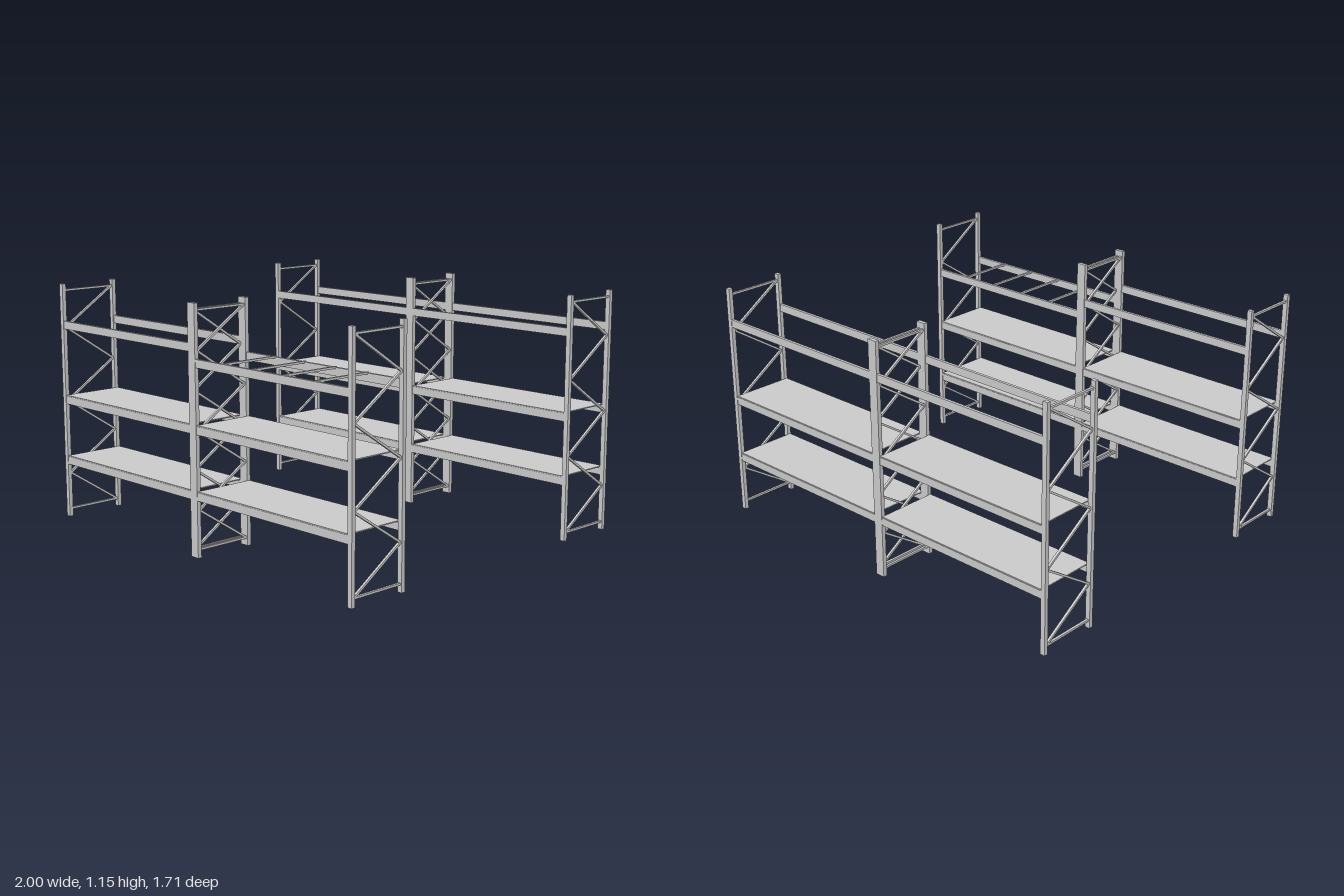
import * as THREE from 'three';

const material = new THREE.MeshStandardMaterial({ color: 0xcccccc, flatShading: true });

const HEIGHT = 1.155, POST_W = 0.024, POST_D = 0.02;
const HALF_DEPTH = 0.157; // row centre to outer post face
const ROW_Z = 0.7;
const BEAM_H = 0.038, BEAM_D = 0.014;

function box(parent, name, w, h, d, x, y, z) {
  const mesh = new THREE.Mesh(new THREE.BoxGeometry(w, h, d), material);
  mesh.name = name;
  mesh.position.set(x, y, z);
  parent.add(mesh);
  return mesh;
}

// Upright frame: two posts, end struts and a zigzag of braces
function uprightFrame(x, topSide) {
  const frame = new THREE.Group();
  frame.name = 'uprightFrame';
  frame.position.x = x;
  const postZ = HALF_DEPTH - POST_D / 2;
  for (const s of [-1, 1]) box(frame, 'post', POST_W, HEIGHT, POST_D, 0, HEIGHT / 2, s * postZ);

  const low = 0.038, high = 1.123, count = 6, reach = HALF_DEPTH - POST_D;
  for (const y of [low, high]) box(frame, 'strut', 0.012, 0.01, reach * 2, 0, y, 0);
  const step = (high - low) / count;
  for (let i = 0; i < count; i++) {
    const side = i % 2 ? -topSide : topSide; // z side of the lower end
    const brace = box(frame, 'diagonalBrace', 0.012, 0.01, Math.hypot(step, reach * 2), 0, low + step * (i + 0.5), 0);
    brace.rotation.x = side * Math.atan2(step, reach * 2);
  }
  return frame;
}

// Bay: two frames, pairs of beams, two decks and optional crossbars
function bay(side, topLevel, withCrossbars) {
  const group = new THREE.Group();
  group.name = side < 0 ? 'rightBay' : 'leftBay';
  group.position.x = side * 0.5;
  const frameX = 0.5 - POST_W / 2, span = 1 - 2 * POST_W;
  group.add(uprightFrame(-frameX, -1), uprightFrame(frameX, 1));

  for (const level of [0.304, 0.606, topLevel]) {
    for (const s of [-1, 1]) {
      box(group, 'beam', span, BEAM_H, BEAM_D, 0, level - BEAM_H / 2, s * (HALF_DEPTH - 0.002 - BEAM_D / 2));
    }
  }
  for (const level of [0.304, 0.606]) {
    box(group, 'deck', span, 0.005, 2 * HALF_DEPTH - 0.008, 0, level + 0.0025, 0);
  }
  if (withCrossbars) {
    for (let i = 0; i < 4; i++) {
      box(group, 'crossbar', 0.012, 0.01, 2 * HALF_DEPTH - 0.012, -0.288 + i * 0.191, topLevel - 0.001, 0);
    }
  }
  return group;
}

export function createModel() {
  const model = new THREE.Group();
  model.name = 'palletRacking';

  const frontRow = new THREE.Group();
  frontRow.name = 'frontRow';
  frontRow.position.z = ROW_Z;
  frontRow.add(bay(-1, 0.975, false), bay(1, 0.907, true));

  const backRow = new THREE.Group();
  backRow.name = 'backRow';
  backRow.position.z = -ROW_Z;
  backRow.add(bay(-1, 1.003, false), bay(1, 1.003, false));

  model.add(frontRow, backRow);
  return model;
}
